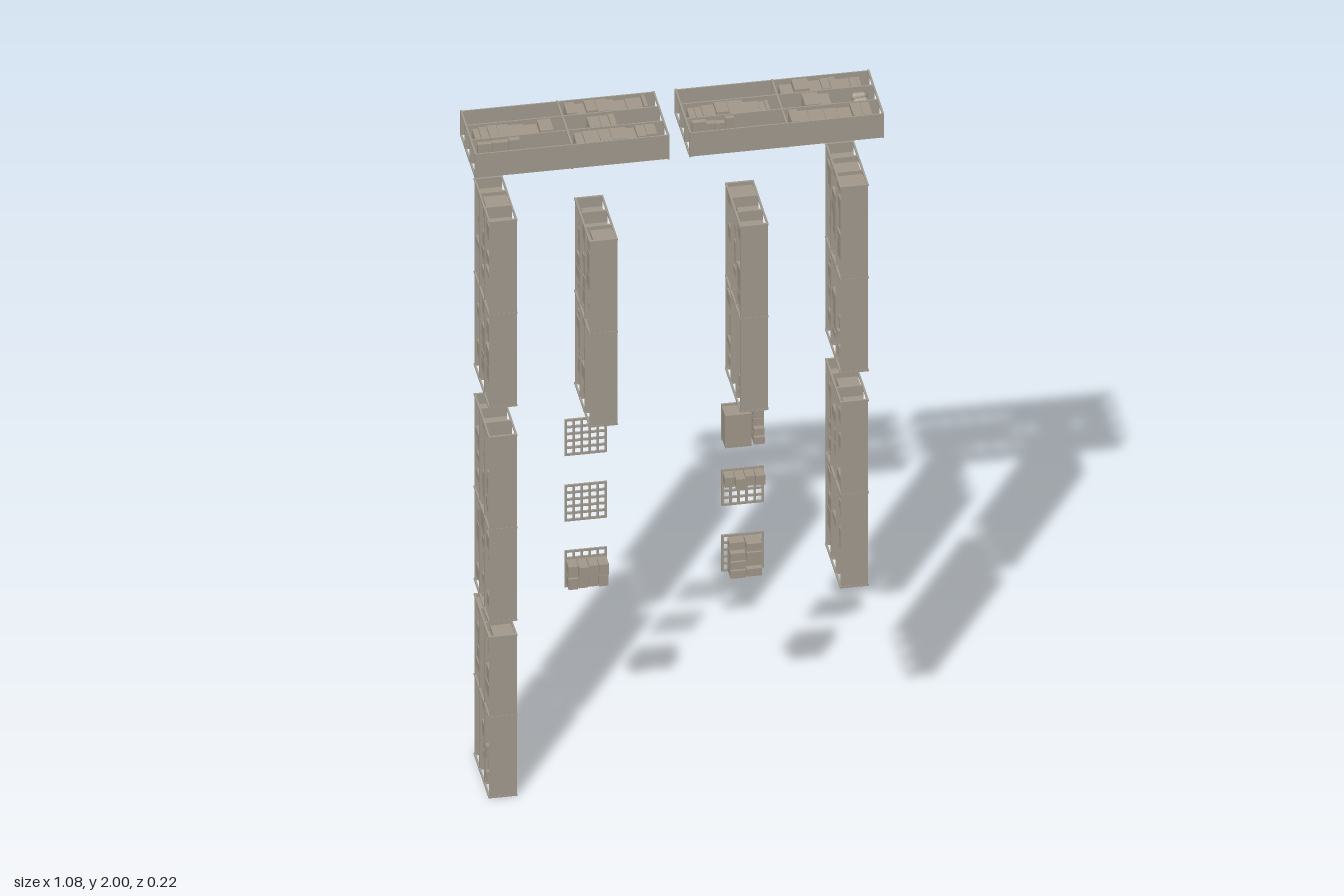
import * as THREE from 'three';

const woodMat = new THREE.MeshStandardMaterial({ color: 0xa39c90, side: THREE.DoubleSide });
const bookMat = new THREE.MeshStandardMaterial({ color: 0xa3998a });

// small seeded generator for book sizes
let seed = 7;
const rnd = (a, b) => {
  seed = (seed * 16807) % 2147483647;
  return a + (b - a) * (seed / 2147483647);
};

function box(parent, name, size, pos, mat = woodMat) {
  const m = new THREE.Mesh(new THREE.BoxGeometry(...size), mat);
  m.name = name;
  m.position.set(...pos);
  parent.add(m);
  return m;
}

const DEPTH = 0.075, PITCH = 0.07, BACK = -0.105;

// how a cell is filled: start and end as a share of the bay, and book height
const FILLS = {
  S: [0.06, 0.9, 0.062], // from the start
  E: [0.14, 0.97, 0.062], // to the end
  H: [0.25, 0.53, 0.06], // a short row
  L: [0.06, 0.5, 0.016], // low, lying flat
};

// row of books standing on a shelf, side by side
function bookRow(parent, u0, u1, z, height) {
  const row = new THREE.Group();
  row.name = 'bookRow';
  for (let u = u0; u < u1 - 0.008;) {
    const t = Math.min(rnd(0.016, 0.045), u1 - u);
    const h = height * rnd(0.78, 1), d = rnd(0.055, 0.069);
    box(row, 'book', [t - 0.001, d, h], [u + t / 2, (d - DEPTH) / 2 + 0.003, z + 0.002 + h / 2], bookMat);
    u += t;
  }
  parent.add(row);
}

// open bookcase along x: four long shelves, ladder frames at the ends and middle.
// each bay is a three letter code: back, middle and front cell
function bookcase(name, start, length, bays) {
  const g = new THREE.Group();
  g.name = name;
  const bay = length / bays.length;
  for (let i = 0; i < 4; i++)
    box(g, 'shelf', [length, DEPTH - 0.002, 0.004], [start + length / 2, 0, BACK + i * PITCH]);
  for (let k = 0; k <= bays.length; k++) {
    const u = start + k * bay;
    for (const side of [-1, 1])
      box(g, 'frameRail', [0.005, 0.005, 0.215], [u, side * (DEPTH / 2 - 0.002), 0]);
    for (let i = 0; i < 4; i++)
      box(g, 'framePost', [0.005, DEPTH, 0.006], [u, 0, BACK + i * PITCH]);
  }
  bays.forEach((code, k) => [...code].forEach((letter, col) => {
    if (!FILLS[letter]) return;
    const [a, b, h] = FILLS[letter];
    bookRow(g, start + (k + a) * bay, start + (k + b) * bay, BACK + col * PITCH, h);
  }));
  return g;
}

// four rounded jars on a shelf
function jars(parent, u, z) {
  for (const dz of [0.018, 0.044])
    for (const y of [-0.018, 0.018]) {
      const j = new THREE.Mesh(new THREE.CapsuleGeometry(0.012, 0.02, 4, 10), bookMat);
      j.name = 'jar';
      j.rotation.z = Math.PI / 2;
      j.position.set(u, y, z + dz);
      parent.add(j);
    }
}

// flat square lattice of six bars each way
function lattice(name, x, y) {
  const g = new THREE.Group();
  g.name = name;
  const size = 0.112;
  for (let i = 0; i < 6; i++) {
    const o = (i / 5 - 0.5) * (size - 0.006);
    box(g, 'latticeBar', [0.006, size, 0.005], [o, 0, 0]);
    box(g, 'latticeBar', [size, 0.006, 0.005], [0, o, 0]);
  }
  g.position.set(x, y, BACK);
  return g;
}

// grid of small boxes standing out from a lattice
function smallBoxes(parent, cols, rows, x, y, w, h) {
  for (let i = 0; i < cols * rows; i++) {
    const d = rnd(0.033, 0.05);
    box(parent, 'smallBox', [w * 0.94, h * 0.86, d],
      [x + (i % cols) * w, y + Math.floor(i / cols) * h, d / 2], bookMat);
  }
}

export function createModel() {
  const model = new THREE.Group();
  model.name = 'bookcaseSet';

  // two horizontal bookcases across the top
  const topRight = bookcase('topBookcaseRight', -0.54, 0.51, ['.SL', 'SHS']);
  const topLeft = bookcase('topBookcaseLeft', 0.028, 0.51, ['.SL', 'SHS']);
  jars(topLeft, 0.498, BACK + PITCH);
  for (const t of [topRight, topLeft]) {
    t.position.y = 1.9625;
    model.add(t);
  }

  // upright bookcases
  const uprights = [
    ['upperBookcaseLeft', 0.462, 1.21, 0.573, ['SEL', 'SEE']],
    ['upperBookcaseRight', -0.468, 1.21, 0.573, ['ESS', 'SES']],
    ['middleBookcaseLeft', 0.462, 0.546, 0.571, ['EHE', 'SES']],
    ['middleBookcaseRight', -0.468, 0.546, 0.571, ['SES', 'SSL']],
    ['lowerBookcaseRight', -0.468, 0.004, 0.494, ['.SL', 'E.E']],
    ['innerBookcaseLeft', 0.197, 1.121, 0.571, ['S.L', 'ESS']],
    ['innerBookcaseRight', -0.202, 1.121, 0.571, ['ES.', 'SSE']],
  ];
  for (const [name, x, bottom, height, bays] of uprights) {
    const b = bookcase(name, bottom, height, bays);
    b.rotation.z = Math.PI / 2;
    b.position.x = x;
    model.add(b);
  }

  // two columns of small lattices, top to bottom
  const column = (side, x) => [0, 1, 2].map(i => {
    const l = lattice(`lattice${side}${i + 1}`, x, 0.956 - i * 0.203);
    model.add(l);
    return l;
  });
  const right = column('Right', -0.21), left = column('Left', 0.205);

  // chest and stacked boxes on the lattices
  box(left[0], 'chest', [0.07, 0.1, 0.05], [-0.02, 0, 0.025], bookMat);
  smallBoxes(left[0], 1, 4, 0.036, -0.038, 0.03, 0.025);
  smallBoxes(left[1], 4, 1, -0.04, 0.036, 0.027, 0.034);
  smallBoxes(left[2], 2, 4, -0.02, -0.04, 0.043, 0.026);
  smallBoxes(right[2], 4, 2, -0.04, -0.025, 0.027, 0.038);
  return model;
}
